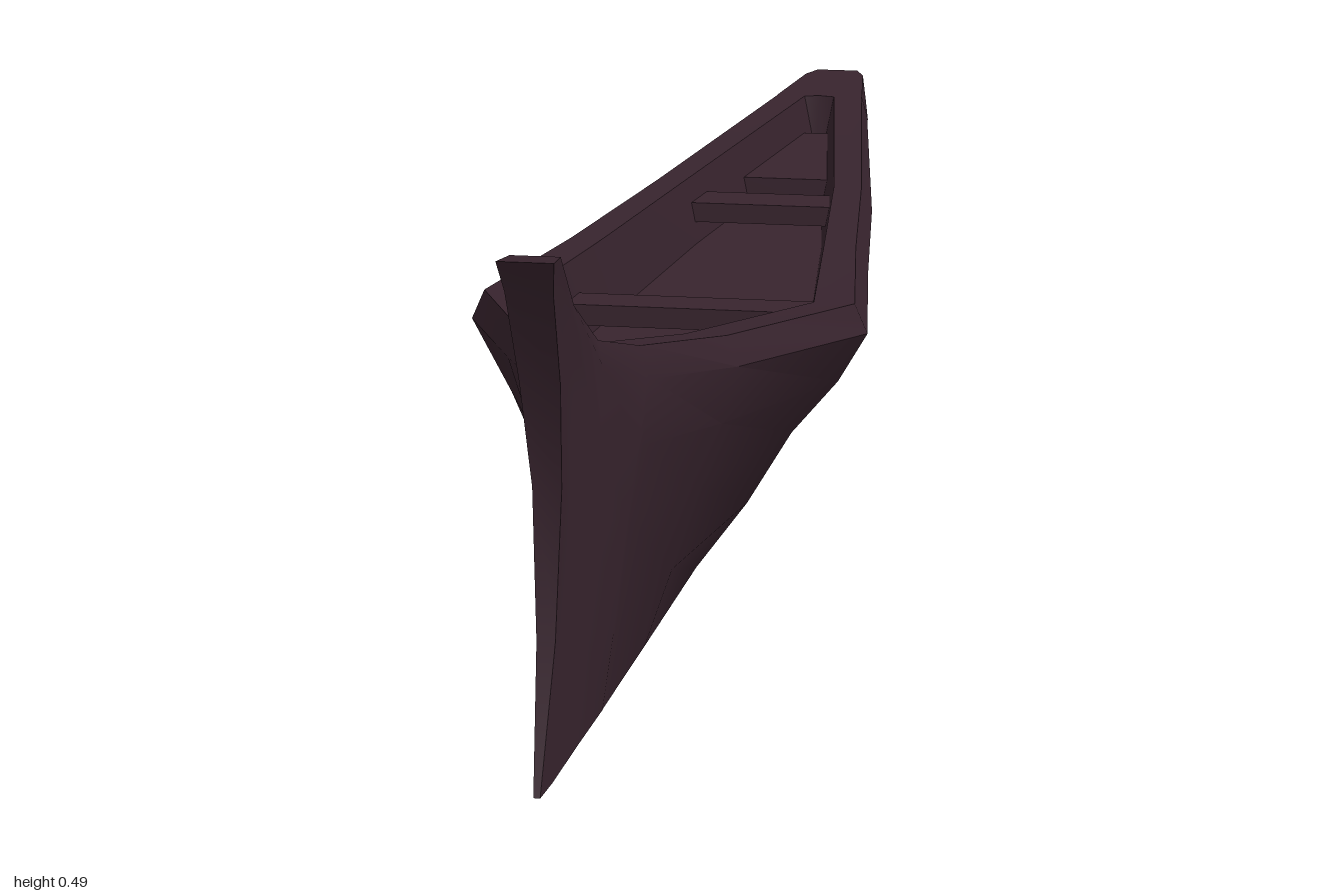
import * as THREE from 'three';
import { toCreasedNormals } from 'three/addons/utils/BufferGeometryUtils.js';

const FLOOR = 0.19;

// Stern to bow: keel z, rim z, end curve, keel half, rub half, deck half, rub y, deck y, well half
const STATIONS = [
  [-0.845, -1.0, -0.015, 0.01, 0.027, 0.025, 0.235, 0.262, 0],
  [-0.835, -0.97, -0.01, 0.012, 0.042, 0.036, 0.235, 0.262, 0],
  [-0.8, -0.835, 0, 0.013, 0.06, 0.052, 0.235, 0.262, 0],
  [-0.79, -0.83, 0, 0.013, 0.06, 0.052, 0.235, 0.262, 0.018],
  [-0.33, -0.33, 0, 0.021, 0.128, 0.116, 0.235, 0.262, 0.085],
  [0, 0, 0, 0.025, 0.165, 0.152, 0.24, 0.27, 0.118],
  [0.28, 0.28, 0, 0.028, 0.2, 0.187, 0.25, 0.28, 0.146],
  [0.54, 0.54, 0, 0.02, 0.11, 0.1, 0.28, 0.31, 0.06],
  [0.72, 0.715, 0, 0.014, 0.057, 0.05, 0.312, 0.343, 0.004],
  [0.73, 0.72, 0, 0.014, 0.055, 0.048, 0.313, 0.344, 0],
  [0.82, 0.8, 0.01, 0.01, 0.029, 0.025, 0.345, 0.368, 0],
  [0.93, 0.885, 0.05, 0.006, 0.018, 0.02, 0.4, 0.42, 0],
  [0.958, 0.955, 0.07, 0.004, 0.018, 0.022, 0.45, 0.48, 0],
  [0.97, 1.0, 0.075, 0.003, 0.021, 0.025, 0.455, 0.485, 0],
];

// Half section: keel, flaring side, rail, deck edge, well rim, floor edge
const SIDE = [[0, 0], [0.28, 0.3], [0.58, 0.56], [0.8, 0.83], [1, 1]];

function halfSection([zK, zT, curve, keel, rub, deck, yRub, yDeck, well]) {
  const zAt = (y) => zK + (zT - zK) * (y / yDeck) - curve * Math.sin(Math.PI * y / yDeck);
  const pts = SIDE.map(([h, f]) => [keel + (rub - keel) * f, h * yRub, zAt(h * yRub)]);
  pts.push([deck, yDeck, zT], [well, yDeck, zT]);
  pts.push([Math.max(well - 0.014, 0), well > 0 ? FLOOR : yDeck, zT]);
  return pts;
}

function hullGeometry() {
  const halves = STATIONS.map(halfSection);
  const m = halves[0].length;
  const rings = halves.map((h) => [...h, ...h.map(([x, y, z]) => [-x, y, z]).reverse()]);
  const n = 2 * m;
  const pos = [];
  const quad = (a, b, c, d) => pos.push(...a, ...b, ...c, ...a, ...c, ...d);
  for (let i = 0; i < rings.length - 1; i++) {
    for (let j = 0; j < n; j++) {
      const k = (j + 1) % n;
      quad(rings[i][j], rings[i][k], rings[i + 1][k], rings[i + 1][j]);
    }
  }
  // Transom and stem faces
  const s = rings[0], b = rings[rings.length - 1];
  for (let j = 0; j < m - 2; j++) {
    quad(s[n - 1 - j], s[n - 2 - j], s[j + 1], s[j]);
    quad(b[j], b[j + 1], b[n - 2 - j], b[n - 1 - j]);
  }
  const geo = new THREE.BufferGeometry();
  geo.setAttribute('position', new THREE.Float32BufferAttribute(pos, 3));
  return toCreasedNormals(geo, 0.55);
}

// Half width of the well at a given z
function wellHalf(z) {
  for (let i = 1; i < STATIONS.length; i++) {
    const a = STATIONS[i - 1], b = STATIONS[i];
    if (z <= b[1]) return a[8] + (b[8] - a[8]) * (z - a[1]) / (b[1] - a[1]);
  }
  return 0;
}

export function createModel() {
  const group = new THREE.Group();
  group.name = 'boat';
  const wood = new THREE.MeshStandardMaterial({ color: 0x38242e });
  wood.name = 'dark wood';

  const add = (name, geo) => {
    const mesh = new THREE.Mesh(geo, wood);
    mesh.name = name;
    group.add(mesh);
  };

  add('hull', hullGeometry());

  // Boards spanning the well, following its sides
  const board = (name, zs, top, thick) => {
    const edge = zs.map((z) => [Math.max(wellHalf(z) - 0.004, 0.002), -z]);
    const outline = [...edge, ...edge.map(([x, y]) => [-x, y]).reverse()];
    const shape = new THREE.Shape(outline.map(([x, y]) => new THREE.Vector2(x, y)));
    const geo = new THREE.ExtrudeGeometry(shape, { depth: thick, bevelEnabled: false });
    geo.rotateX(-Math.PI / 2);
    geo.translate(0, top - thick, 0);
    add(name, geo);
  };
  board('frontThwart', [0.11, 0.16], 0.238, 0.022);
  board('rearThwart', [-0.4, -0.34], 0.235, 0.022);
  board('bowPlatform', [0.35, 0.54, 0.71], 0.222, 0.034);
  board('sternPlatform', [-0.8, -0.54], 0.222, 0.034);

  return group;
}
